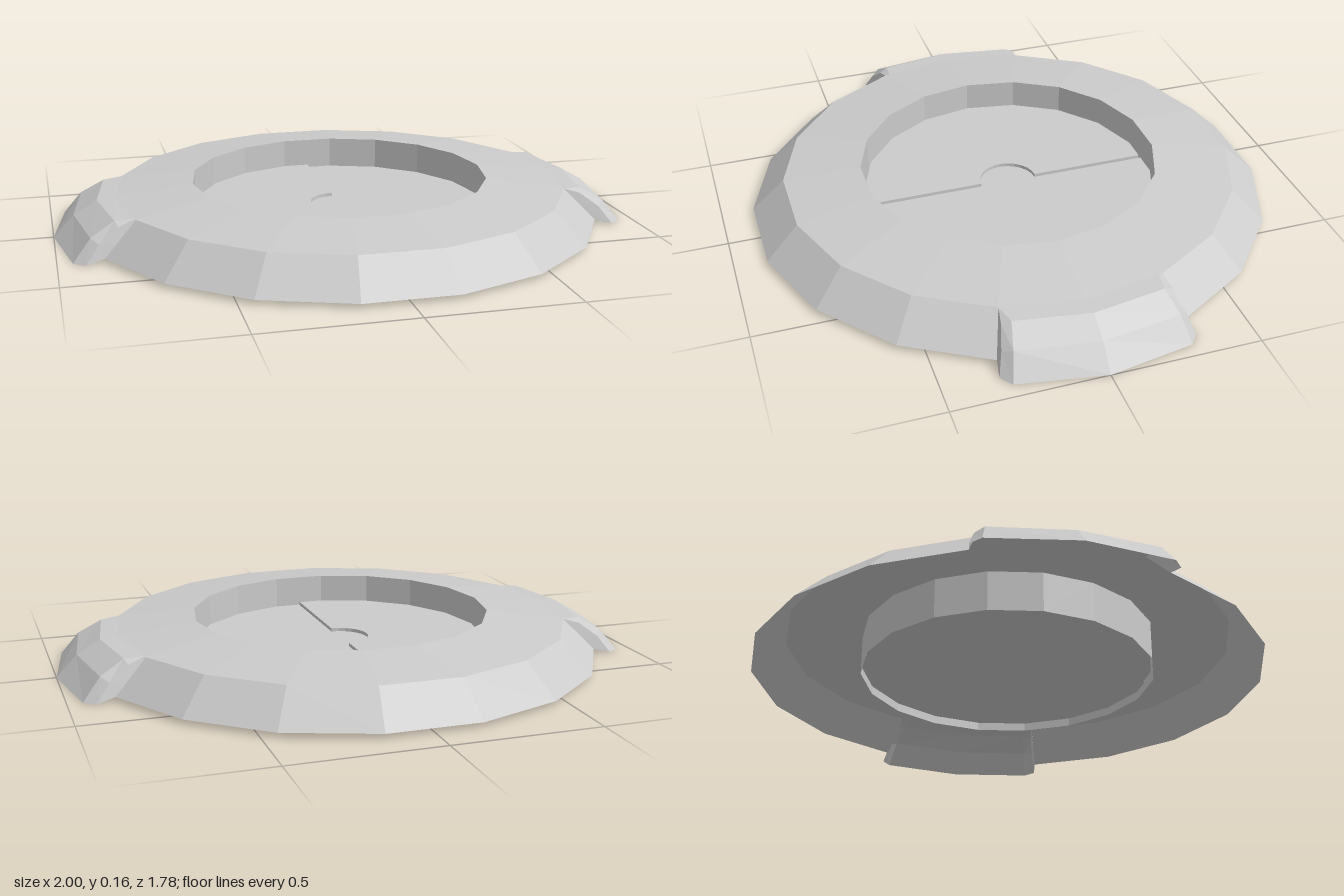
import * as THREE from 'three';

const material = new THREE.MeshStandardMaterial({
  color: 0xcccccc, flatShading: true, side: THREE.DoubleSide,
});
const rad = THREE.MathUtils.degToRad;
const vec2 = ([x, y]) => new THREE.Vector2(x, y);

// Surface through a list of columns, each a list of [x, y, z] points
function loft(columns) {
  const rows = columns[0].length, index = [];
  for (let c = 0; c < columns.length - 1; c++) {
    for (let r = 0; r < rows - 1; r++) {
      const a = c * rows + r, b = a + rows;
      index.push(a, b, a + 1, b, b + 1, a + 1);
    }
  }
  const geometry = new THREE.BufferGeometry();
  geometry.setAttribute('position', new THREE.Float32BufferAttribute(columns.flat(2), 3));
  geometry.setIndex(index);
  geometry.computeVertexNormals();
  return geometry;
}

// Half of the 18-sided floor: side +1 or -1 in x, with the round tongue at its middle
function halfFloor(side, radius) {
  const apothem = radius * Math.cos(rad(10));
  const points = [[0, -apothem]];
  for (let a = -80; a <= 80; a += 20) {
    points.push([side * radius * Math.cos(rad(a)), radius * Math.sin(rad(a))]);
  }
  points.push([0, apothem]);
  for (let i = 0; i <= 12; i++) {
    const a = rad(90 + i * 15);
    points.push([0.1 * Math.cos(a), 0.1 * Math.sin(a)]);
  }
  return new THREE.Shape(points.map(vec2));
}

export function createModel() {
  const model = new THREE.Group();
  const add = (name, geometry) => {
    const mesh = new THREE.Mesh(geometry, material);
    mesh.name = name;
    model.add(mesh);
    return mesh;
  };

  // Gently sloping top ring and the wall down into the well
  add('topRing', new THREE.LatheGeometry(
    [[0.52, 0.015], [0.52, 0.155], [0.79, 0.125]].map(vec2).reverse(), 18, rad(10), Math.PI * 2));

  // Outer skirt, front and back, interrupted by the side tabs
  for (const [name, start] of [['frontSkirt', -70], ['backSkirt', 110]]) {
    add(name, new THREE.LatheGeometry(
      [[0.904, 0.015], [0.79, 0.125]].map(vec2), 7, rad(start), rad(140)));
  }

  // Well floor, one half slightly raised
  add('floor', new THREE.ShapeGeometry(halfFloor(1, 0.52)).rotateX(-Math.PI / 2)).position.y = 0.045;
  add('raisedFloor', new THREE.ExtrudeGeometry(halfFloor(-1, 0.512),
    { depth: 0.012, bevelEnabled: false }).rotateX(-Math.PI / 2)).position.y = 0.045;

  // Side tabs: rounded nose, bevelled corners and a groove against the skirt
  const centre = [[0.79, 0.125, 0], [0.85, 0.121, 0], [0.93, 0.075, 0], [1, 0, 0]];
  const half = [
    [[0.742, 0.125, 0.255], [0.81, 0.121, 0.25], [0.89, 0.075, 0.27], [0.95, 0, 0.29]],
    [[0.742, 0.125, 0.27], [0.8, 0.108, 0.28], [0.865, 0.06, 0.3], [0.91, 0, 0.32]],
    [[0.742, 0.125, 0.27], [0.778, 0.088, 0.283], [0.813, 0.052, 0.296], [0.849, 0.015, 0.309]],
  ];
  const mirrored = half.map((col) => col.map(([x, y, z]) => [x, y, -z])).reverse();
  const tab = loft([...mirrored, centre, ...half]);
  add('leftTab', tab);
  add('rightTab', tab.clone().rotateY(Math.PI));

  return model;
}
